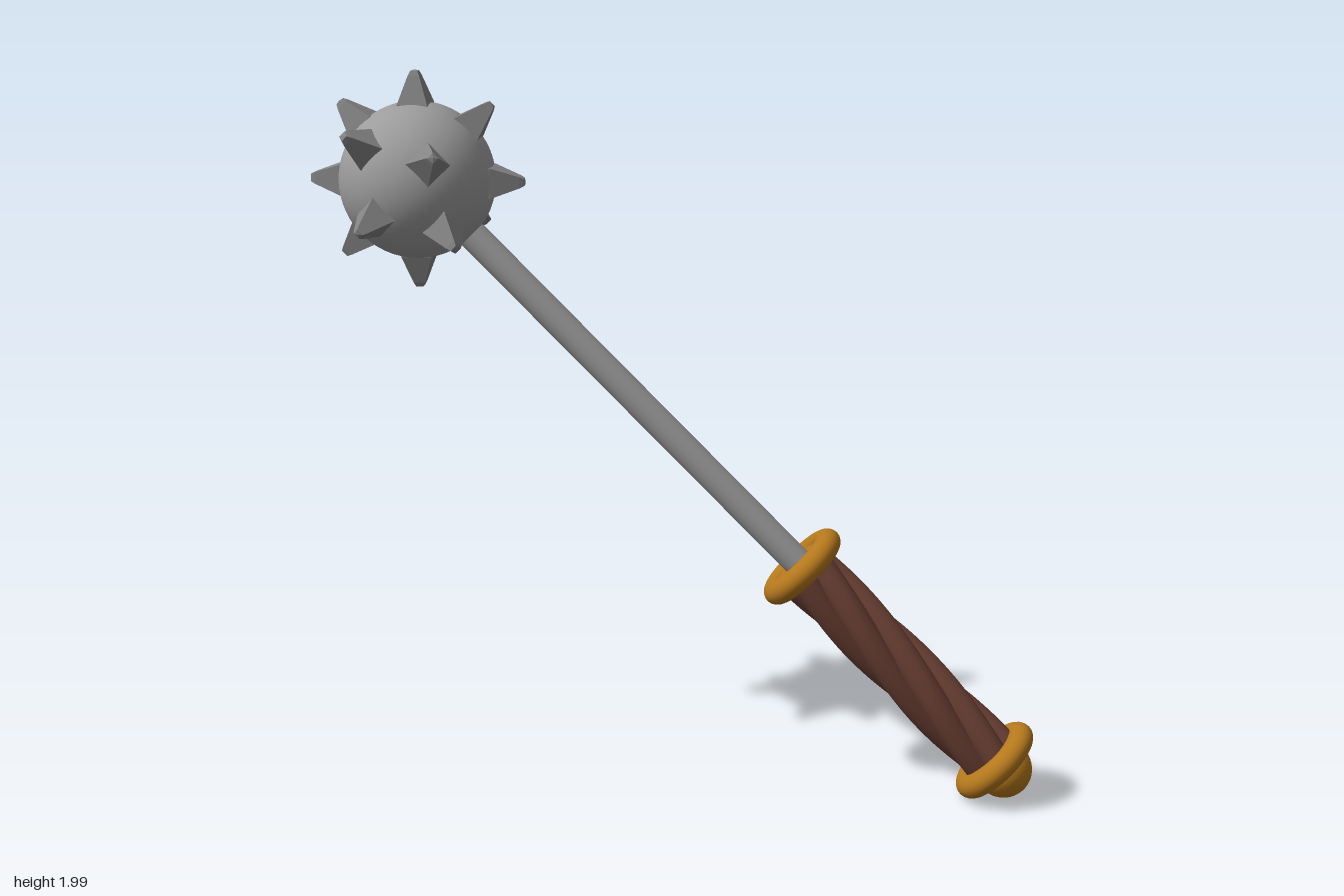
import * as THREE from 'three';

const material = (name, color) => Object.assign(new THREE.MeshStandardMaterial({ color }), { name });

function mesh(name, geometry, mat, y = 0) {
  const m = new THREE.Mesh(geometry, mat);
  m.name = name;
  m.position.y = y;
  return m;
}

// Helical path of one grip strand, running up the y axis
class Strand extends THREE.Curve {
  constructor(phase, radius, y0, y1, twist) {
    super();
    Object.assign(this, { phase, radius, y0, y1, twist });
  }
  getPoint(t, target = new THREE.Vector3()) {
    const a = this.phase + t * this.twist;
    return target.set(
      Math.cos(a) * this.radius,
      THREE.MathUtils.lerp(this.y0, this.y1, t),
      -Math.sin(a) * this.radius
    );
  }
}

// Four-sided blunt spike, measured from the centre of the head
function spikeGeometry() {
  const profile = [[0.064, 0.17], [0.058, 0.205], [0.022, 0.279], [0.014, 0.291], [0, 0.294]];
  const g = new THREE.LatheGeometry(
    profile.map(([r, y]) => new THREE.Vector2(r, y)), 4, Math.PI / 4
  ).toNonIndexed();
  g.computeVertexNormals();
  return g;
}

// Rounded collar with a closed centre
function collar(name, mat, y) {
  const group = new THREE.Group();
  group.name = name;
  group.position.y = y;
  const ring = mesh(name + 'Ring', new THREE.TorusGeometry(0.096, 0.038, 20, 48), mat);
  ring.rotation.x = Math.PI / 2;
  ring.scale.z = 0.9;
  group.add(ring, mesh(name + 'Plate', new THREE.CylinderGeometry(0.095, 0.095, 0.04, 40), mat));
  return group;
}

export function createModel() {
  const steel = material('steel', 0x9c9c9c);
  const spikeSteel = material('dark steel', 0x848484);
  const gold = material('gold', 0xb5781c);
  const leather = material('brown leather', 0x6b4034);

  const model = new THREE.Group();
  model.name = 'spikedMace';

  // Everything is built around the centre of the head
  const mace = new THREE.Group();
  mace.name = 'mace';
  mace.position.set(-0.69, 1.706, 0.088);
  mace.rotation.y = 0.2;
  model.add(mace);

  // Spiked head
  const head = new THREE.Group();
  head.name = 'head';
  head.add(mesh('headBall', new THREE.SphereGeometry(0.21, 48, 32), steel));
  const directions = [];
  for (let i = 0; i < 8; i++) {
    if (i === 7) continue; // the shaft takes this place
    const a = i * Math.PI / 4;
    directions.push([Math.cos(a), Math.sin(a), 0]);
  }
  for (const s of [1, -1]) {
    directions.push(
      [-0.5, 0.5, 0.707 * s], [0.5, -0.5, 0.707 * s],
      [0.35, 0.35, 0.87 * s], [-0.35, -0.35, 0.87 * s]
    );
  }
  const spikeShape = spikeGeometry();
  const zAxis = new THREE.Vector3(0, 0, 1);
  for (const d of directions) {
    const up = new THREE.Vector3(...d).normalize();
    const side = new THREE.Vector3().crossVectors(up, zAxis).normalize();
    const front = new THREE.Vector3().crossVectors(side, up);
    const spike = mesh('spike', spikeShape, spikeSteel);
    spike.quaternion.setFromRotationMatrix(new THREE.Matrix4().makeBasis(side, up, front));
    head.add(spike);
  }
  mace.add(head);

  // Shaft and handle hang along -y, tilted by 45 degrees
  const handle = new THREE.Group();
  handle.name = 'handle';
  handle.rotation.z = Math.PI / 4;
  mace.add(handle);
  handle.add(mesh('shaft', new THREE.CylinderGeometry(0.04, 0.04, 1.35, 32), steel, -0.825));
  handle.add(collar('guard', gold, -1.482));

  // Twisted grip
  const grip = new THREE.Group();
  grip.name = 'grip';
  const strands = 5;
  for (let i = 0; i < strands; i++) {
    const path = new Strand(i / strands * Math.PI * 2, 0.05, -2.255, -1.485, 3.4);
    grip.add(mesh('gripStrand', new THREE.TubeGeometry(path, 48, 0.039, 16), leather));
  }
  handle.add(grip);

  // Pommel
  handle.add(collar('pommelCollar', gold, -2.25));
  handle.add(mesh('pommelBall', new THREE.SphereGeometry(0.08, 32, 24), gold, -2.285));

  return model;
}
